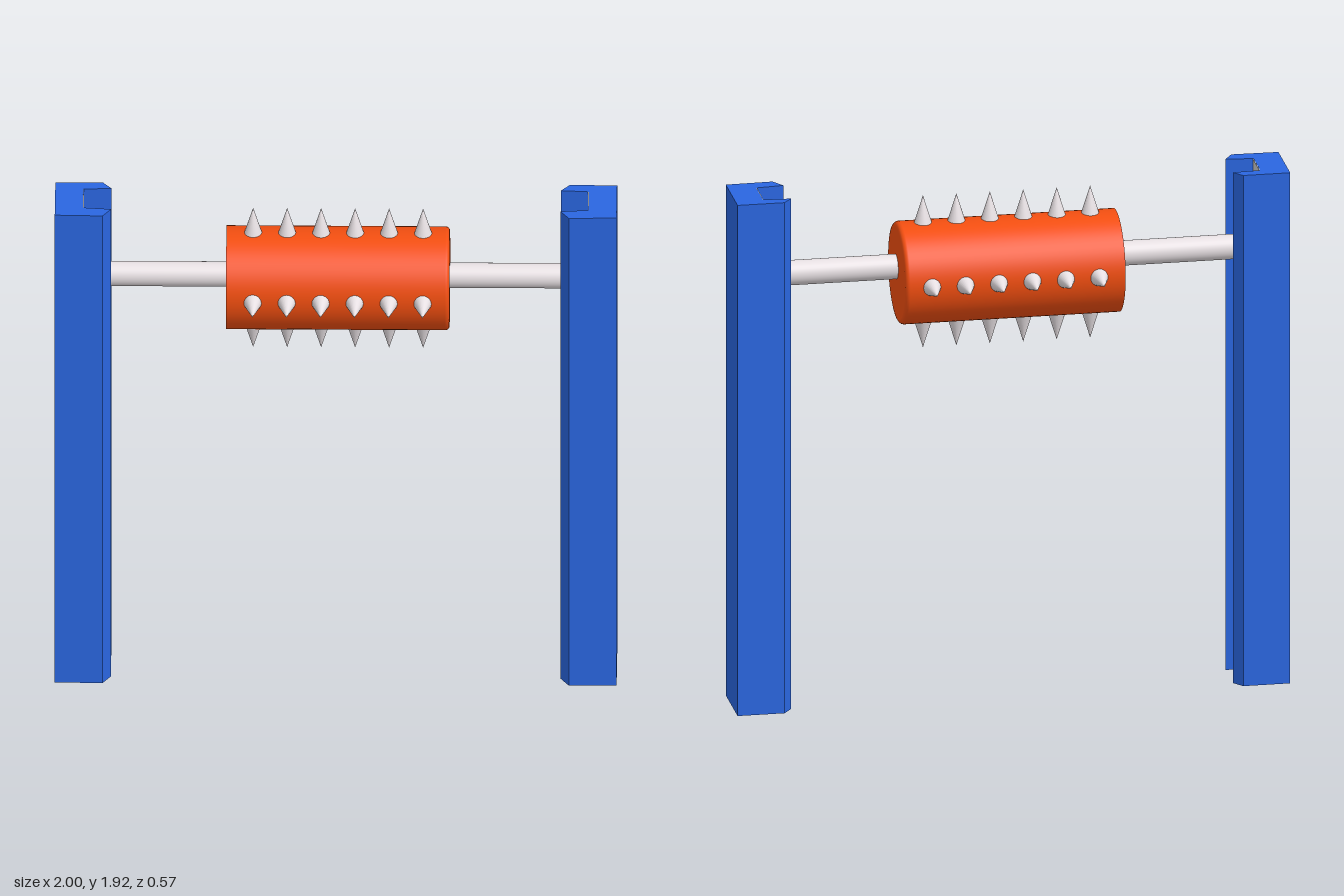
import * as THREE from 'three';

const material = (color) => new THREE.MeshStandardMaterial({ color });

function add(parent, name, geometry, mat, x = 0, y = 0, z = 0) {
  const mesh = new THREE.Mesh(geometry, mat);
  mesh.name = name;
  mesh.position.set(x, y, z);
  parent.add(mesh);
  return mesh;
}

// Upright C-channel, open towards the middle; side is +1 (left) or -1 (right)
function channelPost(side, height) {
  const profile = [
    [1, -0.105], [0.83, -0.105], [0.80, -0.065], [0.90, -0.058],
    [0.90, 0.073], [0.80, 0.083], [0.83, 0.132], [1, 0.128],
  ];
  const shape = new THREE.Shape(profile.map(([x, z]) => new THREE.Vector2(side * x, -z)));
  const geometry = new THREE.ExtrudeGeometry(shape, { depth: height, bevelEnabled: false });
  return geometry.rotateX(-Math.PI / 2);
}

export function createModel() {
  const model = new THREE.Group();
  const blue = material(0x2a66e0);
  const orange = material(0xf24e10);
  const steel = material(0xe6dfe2);
  const grey = material(0xcccccc);
  const height = 1.92;
  const drumY = 1.595;

  // Posts, each with a pale strip lining the bottom of its groove
  for (const side of [1, -1]) {
    const name = side > 0 ? 'left' : 'right';
    add(model, name + 'Post', channelPost(side, height), blue);
    add(model, name + 'GrooveLining', new THREE.BoxGeometry(0.004, height - 0.002, 0.13),
      grey, side * 0.899, height / 2, 0.0075);
  }

  // Axle between the grooves
  add(model, 'axle', new THREE.CylinderGeometry(0.045, 0.045, 1.8, 32).rotateZ(Math.PI / 2),
    steel, 0, 1.615, 0.012);

  // Drum, with a small rounded edge on its left end
  const r = 0.185;
  const bevel = 0.016;
  const edge = [0, 1, 2, 3, 4].map((i) => {
    const a = (i / 4) * Math.PI / 2;
    return new THREE.Vector2(r - bevel + bevel * Math.cos(a), 0.405 - bevel + bevel * Math.sin(a));
  });
  const wall = [new THREE.Vector2(r, -0.39), ...edge];
  const drum = new THREE.Group();
  drum.name = 'drum';
  drum.position.y = drumY;
  add(drum, 'drumWall', new THREE.LatheGeometry(wall, 64).rotateZ(-Math.PI / 2), orange);
  add(drum, 'drumLeftEnd', new THREE.CircleGeometry(r - bevel, 64).rotateY(Math.PI / 2), orange, 0.405);
  add(drum, 'drumRightEnd', new THREE.CircleGeometry(r, 64).rotateY(-Math.PI / 2), orange, -0.39);
  model.add(drum);

  // Four rows of six spikes around the drum
  const spike = new THREE.ConeGeometry(0.034, 0.11, 24).translate(0, 0.231, 0);
  for (let row = 0; row < 4; row++) {
    const spikes = new THREE.Group();
    spikes.name = 'spikeRow' + (row + 1);
    spikes.rotation.x = row * Math.PI / 2;
    for (let i = 0; i < 6; i++) add(spikes, 'spike', spike, steel, -0.295 + i * 0.121);
    drum.add(spikes);
  }
  return model;
}
